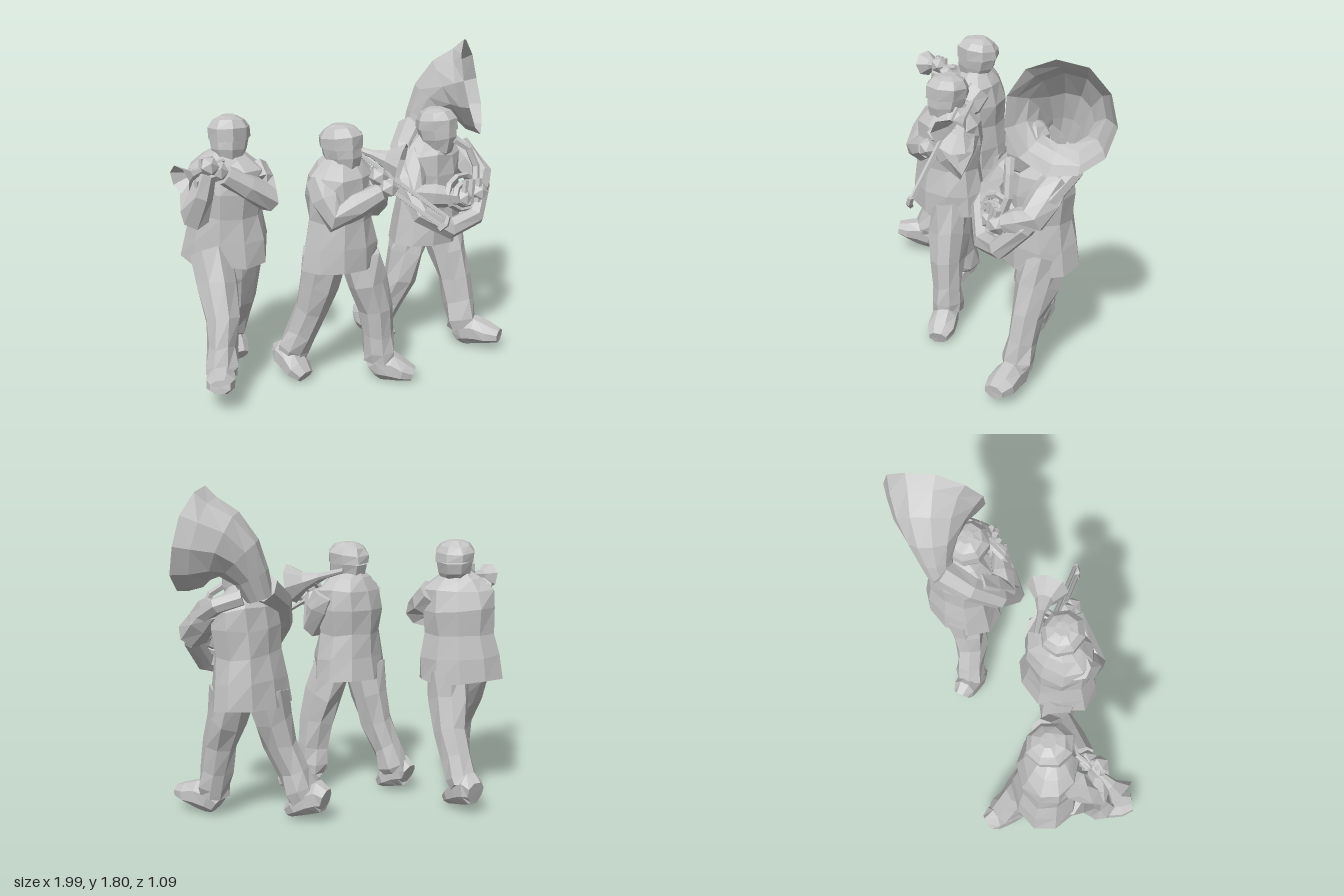
import * as THREE from 'three';

const V = (p) => new THREE.Vector3(p[0], p[1], p[2]);

// Small seeded jitter, for crumpled low-poly cloth
let seed = 7;
const rnd = () => {
  seed = (seed * 16807) % 2147483647;
  return seed / 2147483647 - 0.5;
};

// Skin through rings [x, y, z, rSide, rOther]; faceted, open or closed at the far end
function loft(rings, n, { side = [1, 0, 0], jitter = 0, open = false } = {}) {
  const c = rings.map(V), rows = [], pos = [];
  let a = V(side);
  rings.forEach((r, k) => {
    const t = c[Math.min(k + 1, c.length - 1)].clone().sub(c[Math.max(k - 1, 0)]).normalize();
    a = a.clone().addScaledVector(t, -a.dot(t)).normalize();
    const b = t.clone().cross(a), row = [];
    for (let i = 0; i < n; i++) {
      const th = ((i + 0.5) / n) * Math.PI * 2, s = 1 + rnd() * jitter;
      row.push(c[k].clone().addScaledVector(a, Math.cos(th) * r[3] * s)
        .addScaledVector(b, Math.sin(th) * (r[4] ?? r[3]) * s)
        .addScaledVector(t, rnd() * jitter * r[3] * 1.2));
    }
    rows.push(row);
  });
  const tri = (...q) => q.forEach((v) => pos.push(v.x, v.y, v.z));
  const last = rows.length - 1;
  for (let i = 0; i < n; i++) {
    const j = (i + 1) % n;
    for (let k = 0; k < last; k++) {
      tri(rows[k][i], rows[k][j], rows[k + 1][j]);
      tri(rows[k][i], rows[k + 1][j], rows[k + 1][i]);
    }
    tri(c[0], rows[0][j], rows[0][i]);
    if (!open) tri(c[last], rows[last][i], rows[last][j]);
  }
  const g = new THREE.BufferGeometry();
  g.setAttribute('position', new THREE.Float32BufferAttribute(pos, 3));
  return g;
}

export function createModel() {
  seed = 7;
  const grey = new THREE.MeshStandardMaterial({ color: 0xc4c4c4, side: THREE.DoubleSide });
  grey.name = 'plain grey';
  const model = new THREE.Group();
  model.name = 'marchingBand';

  const add = (parent, name, geo) => {
    const m = new THREE.Mesh(geo, grey);
    m.name = name;
    parent.add(m);
    return m;
  };
  const blob = (parent, name, p, r) =>
    add(parent, name, new THREE.IcosahedronGeometry(r, 0)).position.set(...p);
  const mix = (p, q, t) => p.map((v, i) => v + (q[i] - v) * t);

  // Trouser leg with wrinkled rings, then a shoe from heel to toe (heights are of the sole)
  function leg(parent, name, { hip, knee, ankle, heel, toe }) {
    const s = [toe[2] - heel[2], 0, heel[0] - toe[0]];
    add(parent, name + 'Trouser', loft([
      [...hip, 0.112, 0.125], [...mix(hip, knee, 0.5), 0.106, 0.115], [...knee, 0.09, 0.1],
      [...mix(knee, ankle, 0.5), 0.082, 0.09], [...mix(knee, ankle, 0.85), 0.09, 0.09],
      [...ankle, 0.08, 0.085],
    ], 8, { side: s, jitter: 0.26 }));
    const ring = (t, w, h) => {
      const p = mix(heel, toe, t);
      return [p[0], p[1] + h * 0.92, p[2], w, h];
    };
    add(parent, name + 'Shoe', loft([
      ring(0, 0.05, 0.065), ring(0.15, 0.072, 0.09), ring(0.45, 0.078, 0.085),
      ring(0.75, 0.082, 0.06), ring(1, 0.055, 0.04),
    ], 8, { side: s, jitter: 0.06 }));
  }

  // Sleeve from shoulder through elbow to wrist, with a hand
  function arm(parent, name, [shoulder, elbow, hand]) {
    add(parent, name + 'Sleeve', loft([
      [...shoulder, 0.075], [...mix(shoulder, elbow, 0.5), 0.085], [...elbow, 0.08],
      [...mix(elbow, hand, 0.4), 0.068], [...mix(elbow, hand, 0.85), 0.052],
    ], 7, { jitter: 0.16 }));
    blob(parent, name + 'Hand', hand, 0.055);
  }

  function musician(name, o) {
    const g = new THREE.Group();
    g.name = name;
    model.add(g);
    const [fx, fz] = o.face, side = [fz, 0, -fx];
    // Flared jacket
    const at = (t, w, d) => [...mix(o.hem, o.collar, t), w, d];
    add(g, 'jacket', loft([
      at(0, 0.24, 0.185), at(0.22, 0.222, 0.175), at(0.45, 0.195, 0.16), at(0.68, 0.208, 0.165),
      at(0.86, 0.2, 0.145), at(0.96, 0.135, 0.105), at(1.04, 0.065, 0.065),
    ], 10, { side, jitter: 0.1 }));
    // Head with chin, cheeks and rounded cap
    const [hx, hy, hz] = o.head;
    const h = (y, f, w, d) => [hx + fx * f, hy + y, hz + fz * f, w, d];
    add(g, 'head', loft([
      h(-0.17, -0.01, 0.06, 0.06), h(-0.11, 0.015, 0.075, 0.085), h(-0.05, 0.012, 0.095, 0.11),
      h(0.015, 0, 0.106, 0.116),
    ], 8, { side, jitter: 0.05 }));
    add(g, 'cap', loft([
      h(0.005, 0, 0.112, 0.124), h(0.06, 0, 0.114, 0.122), h(0.1, -0.01, 0.085, 0.09),
      h(0.12, -0.01, 0.04, 0.04),
    ], 8, { side, jitter: 0.06 }));
    leg(g, 'right', o.rightLeg);
    leg(g, 'left', o.leftLeg);
    arm(g, 'rightArm', o.rightArm);
    arm(g, 'leftArm', o.leftArm);
    return g;
  }

  // Trumpeter
  const a = musician('trumpeter', {
    face: [-0.5, 0.86], hem: [-0.67, 0.7, -0.19], collar: [-0.65, 1.29, -0.16],
    head: [-0.63, 1.36, -0.165],
    rightLeg: { hip: [-0.76, 0.76, -0.15], knee: [-0.77, 0.42, 0.03], ankle: [-0.82, 0.14, 0.12],
      heel: [-0.8, 0.02, 0.07], toe: [-0.89, 0.13, 0.29] },
    leftLeg: { hip: [-0.58, 0.76, -0.18], knee: [-0.56, 0.43, -0.28], ankle: [-0.57, 0.15, -0.42],
      heel: [-0.59, 0.08, -0.52], toe: [-0.57, 0, -0.28] },
    rightArm: [[-0.82, 1.2, -0.12], [-0.88, 1.02, -0.01], [-0.81, 1.27, 0.02]],
    leftArm: [[-0.51, 1.19, -0.13], [-0.49, 1.06, 0.0], [-0.75, 1.23, -0.01]],
  });
  add(a, 'trumpetBell', loft([
    [-0.71, 1.275, -0.05, 0.014], [-0.86, 1.25, 0.015, 0.018], [-0.92, 1.24, 0.035, 0.035],
    [-0.975, 1.23, 0.055, 0.078],
  ], 7, { open: true }));
  add(a, 'trumpetTubing', loft([
    [-0.72, 1.2, -0.03, 0.015, 0.03], [-0.89, 1.19, 0.035, 0.015, 0.03],
  ], 5));
  for (let i = 0; i < 3; i++) {
    add(a, 'trumpetValve', new THREE.CylinderGeometry(0.014, 0.014, 0.13, 5))
      .position.set(-0.79 - i * 0.03, 1.25, -0.01 + i * 0.012);
  }

  // Trombonist
  const b = musician('trombonist', {
    face: [0.4, 0.92], hem: [-0.145, 0.69, 0.175], collar: [-0.14, 1.28, 0.17],
    head: [-0.14, 1.335, 0.18],
    rightLeg: { hip: [-0.23, 0.74, 0.15], knee: [-0.28, 0.42, 0.09], ankle: [-0.37, 0.13, 0.01],
      heel: [-0.42, 0.06, -0.05], toe: [-0.34, 0, 0.13] },
    leftLeg: { hip: [-0.05, 0.74, 0.2], knee: [0.03, 0.42, 0.25], ankle: [0.055, 0.12, 0.26],
      heel: [0.02, 0, 0.24], toe: [0.21, 0, 0.37] },
    rightArm: [[-0.28, 1.19, 0.2], [-0.24, 1.0, 0.32], [0.05, 1.13, 0.35]],
    leftArm: [[0.01, 1.18, 0.13], [0.05, 1.0, 0.2], [0.02, 1.18, 0.3]],
  });
  add(b, 'tromboneBell', loft([
    [-0.06, 1.31, 0.07, 0.014], [0.05, 1.27, 0.16, 0.022], [0.11, 1.245, 0.21, 0.05],
    [0.172, 1.225, 0.265, 0.115],
  ], 8, { open: true }));
  // Long slide: two rails joined by the end bow
  const slide = [[-0.06, 1.27, 0.16], [0.29, 0.96, 0.52]];
  for (const s of [-1, 1]) {
    add(b, 'slideRail', loft(slide.map((p) => [p[0] - s * 0.016, p[1] - s * 0.024, p[2], 0.012]), 5));
  }
  add(b, 'slideBow', loft([
    [0.265, 0.92, 0.515, 0.016], [0.295, 0.95, 0.53, 0.018], [0.31, 0.99, 0.525, 0.016],
  ], 5));
  add(b, 'slideBrace', loft([[0.0, 1.17, 0.26, 0.012], [0.06, 1.23, 0.2, 0.012]], 4));

  // Bass horn player
  const c = musician('bassHornPlayer', {
    face: [0.45, 0.89], hem: [0.535, 0.66, -0.085], collar: [0.56, 1.27, -0.07],
    head: [0.55, 1.32, -0.01],
    rightLeg: { hip: [0.46, 0.72, -0.11], knee: [0.38, 0.42, -0.12], ankle: [0.28, 0.13, -0.2],
      heel: [0.2, 0.08, -0.3], toe: [0.33, 0, -0.11] },
    leftLeg: { hip: [0.64, 0.72, -0.08], knee: [0.68, 0.42, 0.02], ankle: [0.71, 0.12, 0.09],
      heel: [0.69, 0, 0.06], toe: [0.85, 0.06, 0.27] },
    rightArm: [[0.39, 1.18, -0.06], [0.36, 0.99, 0.09], [0.61, 0.96, 0.2]],
    leftArm: [[0.74, 1.18, -0.09], [0.8, 1.03, 0.06], [0.71, 0.98, 0.2]],
  });
  // Great bell opening out from a neck behind the head
  add(c, 'hornBell', loft([
    [0.52, 1.24, -0.2, 0.075], [0.56, 1.35, -0.2, 0.095], [0.62, 1.445, -0.18, 0.14],
    [0.69, 1.5, -0.15, 0.19], [0.76, 1.515, -0.105, 0.238], [0.815, 1.53, -0.06, 0.276],
  ], 11, { side: [1, 0, -1], jitter: 0.04, open: true }));
  // Tapering body loop slung around the player
  add(c, 'hornLoop', loft([
    [0.5, 1.29, -0.2, 0.08], [0.38, 1.2, -0.1, 0.07], [0.315, 1.05, 0.04, 0.06],
    [0.36, 0.89, 0.16, 0.06], [0.53, 0.79, 0.2, 0.06], [0.7, 0.84, 0.19, 0.056],
    [0.795, 0.98, 0.1, 0.052], [0.8, 1.12, -0.03, 0.048], [0.74, 1.21, -0.18, 0.045],
    [0.62, 1.25, -0.22, 0.045],
  ], 7, { jitter: 0.08 }));
  // Inner tubing, valves and mouthpipe
  [0.13, 0.085].forEach((r, i) => {
    const ring = add(c, 'innerTubing', new THREE.TorusGeometry(r, 0.022, 5, 10));
    ring.position.set(0.63, 0.98, 0.16 + i * 0.03);
    ring.rotation.set(-0.2, 0.3, 0);
    ring.scale.y = 0.75;
  });
  for (let i = 0; i < 3; i++) {
    add(c, 'hornValve', loft([
      [0.6 + i * 0.045, 0.93, 0.22, 0.02], [0.62 + i * 0.045, 1.06, 0.2, 0.02],
    ], 5));
  }
  add(c, 'mouthpipe', loft([
    [0.61, 1.27, 0.1, 0.022], [0.68, 1.22, 0.13, 0.02], [0.72, 1.12, 0.15, 0.022],
    [0.7, 1.02, 0.18, 0.024],
  ], 5));

  // Faceted normals on every part
  model.traverse((m) => {
    if (!m.isMesh) return;
    if (m.geometry.index) m.geometry = m.geometry.toNonIndexed();
    m.geometry.computeVertexNormals();
  });
  return model;
}
